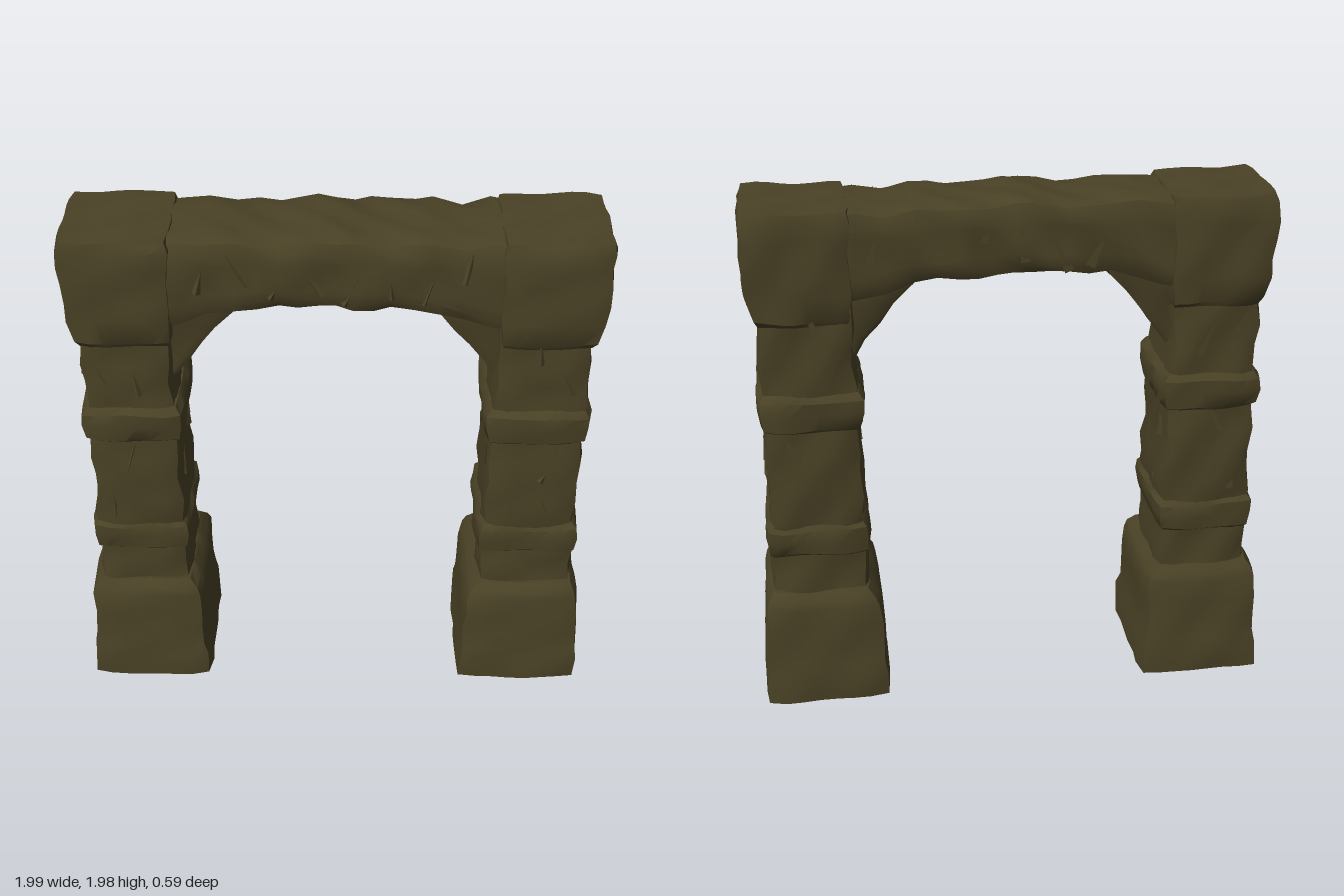
import * as THREE from 'three';
import { toCreasedNormals } from 'three/addons/utils/BufferGeometryUtils.js';

const stone = new THREE.MeshStandardMaterial({ color: 0x4a4226 });
stone.name = 'mossy brown stone';

let seed = 7;
const rand = () => {
  seed = (seed * 16807) % 2147483647;
  return seed / 2147483647;
};

// Position-based wobble, so vertices shared by neighbouring faces stay joined
const wobble = (x, y, z, k) =>
  Math.sin(x * 23 + y * 17 + k) * 0.5 + Math.sin(z * 31 - y * 29 + x * 13 + k * 2.3) * 0.5;

// Rough block through sections [y, x0, x1, z0, z1], with worn corners
function roughBlock(sections, amount = 0.008, round = 0.05) {
  const rows = [];
  sections.forEach((b, i) => {
    if (i > 0) {
      const a = sections[i - 1];
      const steps = Math.max(1, Math.round((b[0] - a[0]) / 0.08));
      for (let s = 1; s < steps; s++) rows.push(a.map((v, j) => v + ((b[j] - v) * s) / steps));
    }
    rows.push(b);
  });
  const n = rows.length - 1;
  const geometry = new THREE.BoxGeometry(2, 2, 2, 7, n, 7);
  const p = geometry.attributes.position;
  for (let i = 0; i < p.count; i++) {
    const u = p.getX(i), w = p.getZ(i);
    const [y, x0, x1, z0, z1] = rows[Math.round((p.getY(i) / 2 + 0.5) * n)];
    const x = (x0 + x1) / 2 + ((x1 - x0) / 2) * u * (1 - round * w ** 8);
    const z = (z0 + z1) / 2 + ((z1 - z0) / 2) * w * (1 - round * u ** 8);
    p.setXYZ(i,
      x + amount * wobble(x, y, z, 1),
      y + (y > 0.001 ? amount * wobble(x, y, z, 4) : 0),
      z + amount * wobble(x, y, z, 9));
  }
  return toCreasedNormals(geometry, 0.65);
}

function add(parent, name, geometry) {
  const mesh = new THREE.Mesh(geometry, stone);
  mesh.name = name;
  parent.add(mesh);
  return mesh;
}

// Thin, tilted three-sided flake lying on a face
const flakeGeometry = new THREE.ConeGeometry(1, 1, 3).toNonIndexed();
flakeGeometry.computeVertexNormals();
function flake(parent, x, y, z, axis) {
  const mesh = add(parent, 'stoneFlake', flakeGeometry);
  mesh.position.set(x, y, z);
  mesh.scale.set(0.012 + rand() * 0.015, 0.08 + rand() * 0.08, 0.01);
  mesh.rotation.order = 'YXZ';
  mesh.rotation.set((rand() - 0.5) * 0.1, axis === 'x' ? Math.PI / 2 : 0, (rand() - 0.5) * 1.2);
}

// One pillar; ranges are written as [y, inner, outer, half depth]
function pillar(side) {
  const group = new THREE.Group();
  group.name = side > 0 ? 'leftPillar' : 'rightPillar';
  const block = (list, amount, round) => roughBlock(list.map(([y, inner, outer, d]) =>
    side > 0 ? [y, inner, outer, -d, d] : [y, -outer, -inner, -d, d]), amount, round);
  const shift = side > 0 ? -0.015 : 0;

  add(group, 'base', block([
    [0, 0.515 + shift, 0.995, 0.29], [0.1, 0.515 + shift, 0.99, 0.29],
    [0.15, 0.525 + shift, 0.985, 0.28], [0.4, 0.535 + shift, 0.975, 0.26],
    [0.43, 0.55 + shift, 0.965, 0.25], [0.46, 0.58 + shift, 0.945, 0.225],
  ], 0.007, 0.04));
  add(group, 'shaft', block([
    [0.4, 0.585 + shift, 0.945, 0.215], [0.62, 0.585 + shift, 0.935, 0.205],
    [0.76, 0.583 + shift, 0.935, 0.215], [0.95, 0.588 + shift, 0.93, 0.22],
    [1.14, 0.583 + shift, 0.93, 0.21], [1.3, 0.595 + shift, 0.93, 0.205],
    [1.62, 0.595 + shift, 0.93, 0.2],
  ], 0.012, 0.06));
  // Two stone rings round the shaft
  for (const [low, high] of [[0.61, 0.75], [1.13, 1.28]]) {
    const m = (low + high) / 2;
    add(group, 'ring', block([
      [low, 0.588 + shift, 0.925, 0.205], [low + 0.015, 0.575 + shift, 0.942, 0.222],
      [m, 0.565 + shift, 0.952, 0.228], [high - 0.025, 0.568 + shift, 0.95, 0.226],
      [high, 0.588 + shift, 0.93, 0.205],
    ], 0.006, 0.05));
  }
  add(group, 'capital', block([
    [1.54, 0.6, 0.93, 0.195], [1.57, 0.59, 0.945, 0.218], [1.66, 0.585, 0.965, 0.222],
    [1.8, 0.58, 0.975, 0.22], [1.93, 0.58, 0.975, 0.215], [1.965, 0.59, 0.965, 0.2],
  ], 0.008, 0.04));
  // Sloping bracket under the lintel
  add(group, 'bracket', block([
    [1.38, 0.585, 0.66, 0.13], [1.46, 0.535, 0.66, 0.14],
    [1.6, 0.425, 0.66, 0.16], [1.68, 0.355, 0.66, 0.17], [1.74, 0.33, 0.66, 0.17],
  ], 0.007, 0.04));

  // Chipped surfaces on all four faces
  for (let i = 0; i < 5; i++) {
    const y = 0.82 + rand() * 0.25 + (i % 2) * 0.5;
    const x = side * (0.65 + rand() * 0.22);
    flake(group, x, y, 0.212, 'z');
    flake(group, x, y + 0.04, -0.212, 'z');
    const z = (rand() - 0.5) * 0.28;
    flake(group, side * 0.932, y, z, 'x');
    flake(group, side * (0.588 + shift), Math.min(y, 1.1), -z, 'x');
  }
  return group;
}

export function createModel() {
  const group = new THREE.Group();
  group.name = 'stoneGateway';
  group.add(pillar(-1), pillar(1));

  // Lintel: stacked along its length as [x, bottom, top, half depth], then laid flat
  const lintel = roughBlock([
    [-0.66, 1.6, 1.955, 0.2], [-0.56, 1.61, 1.96, 0.2], [-0.46, 1.65, 1.965, 0.195],
    [-0.36, 1.68, 1.965, 0.195], [-0.2, 1.695, 1.955, 0.2], [0, 1.69, 1.975, 0.195],
    [0.2, 1.685, 1.96, 0.2], [0.35, 1.675, 1.965, 0.2], [0.46, 1.64, 1.955, 0.195],
    [0.56, 1.61, 1.965, 0.2], [0.66, 1.6, 1.955, 0.2],
  ].map(([x, low, high, d]) => [x, -high, -low, -d, d]), 0.012, 0.09);
  lintel.rotateZ(-Math.PI / 2);
  lintel.rotateY(Math.PI);
  lintel.scale(-1, 1, -1);
  // Restore the left-to-right order after the half turn
  add(group, 'lintel', lintel);

  // Chips along the lintel faces
  for (let i = 0; i < 8; i++) {
    const x = -0.48 + i * 0.135;
    flake(group, x, 1.78 + rand() * 0.1, 0.198, 'z');
    flake(group, x + 0.04, 1.78 + rand() * 0.1, -0.198, 'z');
  }
  return group;
}
